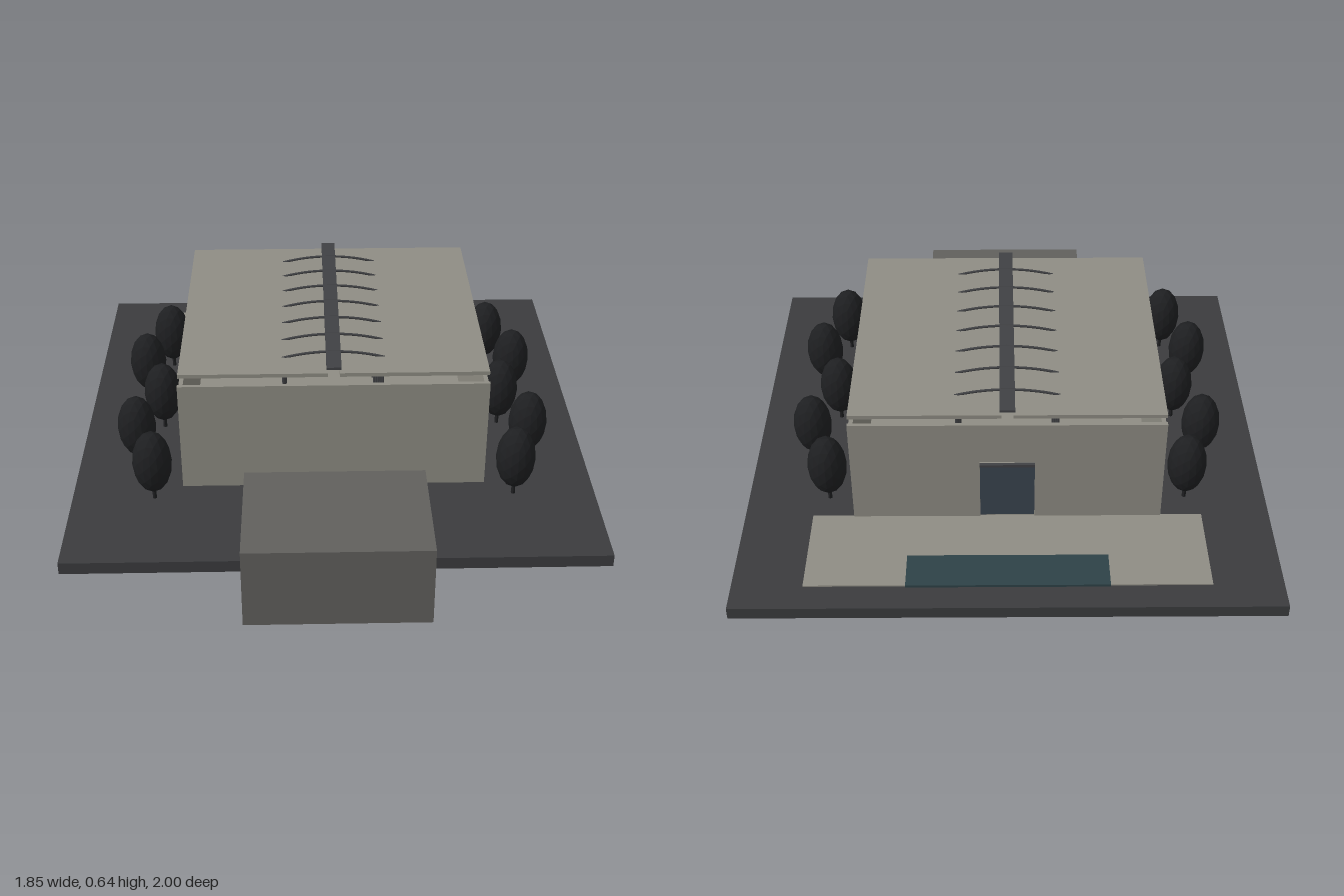
import * as THREE from 'three';

const mat = (color) => new THREE.MeshStandardMaterial({ color });
const mats = {
  wall: mat(0x8f8d84), slab: mat(0x3b3c3e), annex: mat(0x61605d),
  water: mat(0x2e4247), glass: mat(0x3a4450), steel: mat(0x404144), tree: mat(0x1e1f21),
};
mats.tree.flatShading = true;

export function createModel() {
  const model = new THREE.Group();

  const add = (name, geometry, material, parent = model) => {
    const mesh = new THREE.Mesh(geometry, material);
    mesh.name = name;
    parent.add(mesh);
    return mesh;
  };

  // Box given by its lower and upper limits on each axis
  const block = (name, material, [x0, x1], [y0, y1], [z0, z1], parent = model) => {
    const mesh = add(name, new THREE.BoxGeometry(x1 - x0, y1 - y0, z1 - z0), material, parent);
    mesh.position.set((x0 + x1) / 2, (y0 + y1) / 2, (z0 + z1) / 2);
    return mesh;
  };

  // Thin round rod through a list of points
  const rod = (name, points, radius, parent) => {
    const curve = new THREE.CatmullRomCurve3(points.map((p) => new THREE.Vector3(...p)));
    return add(name, new THREE.TubeGeometry(curve, points.length > 2 ? 24 : 1, radius, 6), mats.steel, parent);
  };

  // Site, forecourt and pool
  block('groundSlab', mats.slab, [-0.925, 0.925], [0.103, 0.147], [-1, 0.85]);
  block('forecourt', mats.wall, [-0.685, 0.685], [0.14, 0.152], [-0.9, -0.555]);
  block('pool', mats.water, [-0.343, 0.343], [0.145, 0.156], [-0.905, -0.762]);

  // Hall: hollow walls, open below the raised roof
  const hall = new THREE.Group();
  hall.name = 'hall';
  model.add(hall);
  const base = 0.145, top = 0.56, t = 0.015;
  block('frontWall', mats.wall, [-0.54, 0.54], [base, top], [0.415 - t, 0.415], hall);
  for (const s of [-1, 1]) {
    const side = block('sideWall', mats.wall, [0.535 - t, 0.535], [base, top], [-0.55, 0.405], hall);
    side.position.x *= s;
    const post = block('cornerPost', mats.wall, [0.52, 0.54], [base, top], [-0.56, -0.545], hall);
    post.position.x *= s;
  }
  block('hallFloor', mats.wall, [-0.53, 0.53], [base, 0.15], [-0.55, 0.405], hall);
  block('sideLedge', mats.steel, [0.53, 0.546], [0.193, 0.199], [-0.155, -0.055], hall);

  // Back wall with a tall doorway
  const back = new THREE.Shape([[-0.525, base], [-0.095, base], [-0.095, 0.4], [0.095, 0.4],
    [0.095, base], [0.525, base], [0.525, top], [-0.525, top]].map((p) => new THREE.Vector2(...p)));
  const backWall = add('backWall', new THREE.ExtrudeGeometry(back, { depth: t, bevelEnabled: false }), mats.wall, hall);
  backWall.position.z = -0.56;
  block('doorGlass', mats.glass, [-0.095, 0.095], [base, 0.375], [-0.55, -0.545], hall);
  block('doorTransom', mats.steel, [-0.095, 0.095], [0.372, 0.382], [-0.556, -0.543], hall);

  // Roof: two floating panels with a raised spine between them
  const roof = new THREE.Group();
  roof.name = 'roof';
  model.add(roof);
  block('roofPanelLeft', mats.wall, [0.02, 0.535], [0.597, 0.611], [-0.57, 0.42], roof);
  block('roofPanelRight', mats.wall, [-0.535, -0.02], [0.597, 0.611], [-0.57, 0.42], roof);
  block('roofSpine', mats.steel, [-0.026, 0.026], [0.626, 0.635], [-0.573, 0.423], roof);

  // Arched ribs, each with a pair of branching columns
  for (let i = 0; i < 7; i++) {
    const z = -0.455 + i * 0.1267;
    rod('archedRib', [[-0.29, 0.558, z], [-0.24, 0.586, z], [-0.17, 0.61, z], [-0.09, 0.626, z], [0, 0.632, z],
      [0.09, 0.626, z], [0.17, 0.61, z], [0.24, 0.586, z], [0.29, 0.558, z]], 0.0045, roof);
    for (const x of [-0.175, 0.175]) {
      rod('column', [[x, 0.147, z], [x, 0.608, z]], 0.005, roof);
      for (const d of [-1, 1]) {
        rod('columnBranch', [[x, 0.54, z], [x, 0.57, z + d * 0.015], [x, 0.598, z + d * 0.045]], 0.0035, roof);
        rod('columnSideBranch', [[x, 0.55, z], [x + d * 0.05, 0.598, z]], 0.0035, roof);
      }
    }
  }

  // Entrance annex, and the hollow passage that leads from it under the slab
  block('annex', mats.annex, [-0.313, 0.313], [0, 0.295], [0.55, 1]);
  const passage = new THREE.Group();
  passage.name = 'passage';
  model.add(passage);
  const run = [0.34, 0.62];
  block('passageRoof', mats.annex, [-0.092, 0.092], [0.18, 0.192], [0.41, 0.62], passage);
  block('passageFloor', mats.annex, [-0.092, 0.092], [0, 0.01], run, passage);
  block('passageWallLeft', mats.annex, [0.08, 0.092], [0, 0.147], run, passage);
  block('passageWallRight', mats.annex, [-0.092, -0.08], [0, 0.147], run, passage);
  block('passageUpperLeft', mats.annex, [0.08, 0.092], [0.14, 0.185], [0.41, 0.62], passage);
  block('passageUpperRight', mats.annex, [-0.092, -0.08], [0.14, 0.185], [0.41, 0.62], passage);

  // Two staggered rows of trees
  const crown = new THREE.IcosahedronGeometry(1, 2).scale(0.069, 0.119, 0.069);
  const trunk = new THREE.CylinderGeometry(0.006, 0.008, 0.06, 6);
  for (const s of [-1, 1]) {
    for (let i = 0; i < 5; i++) {
      const tree = new THREE.Group();
      tree.name = 'tree';
      tree.position.set(s * (i % 2 ? 0.71 : 0.635), 0.147, -0.452 + i * 0.2335);
      add('treeCrown', crown, mats.tree, tree).position.y = 0.153;
      add('treeTrunk', trunk, mats.tree, tree).position.y = 0.028;
      model.add(tree);
    }
  }

  return model;
}
